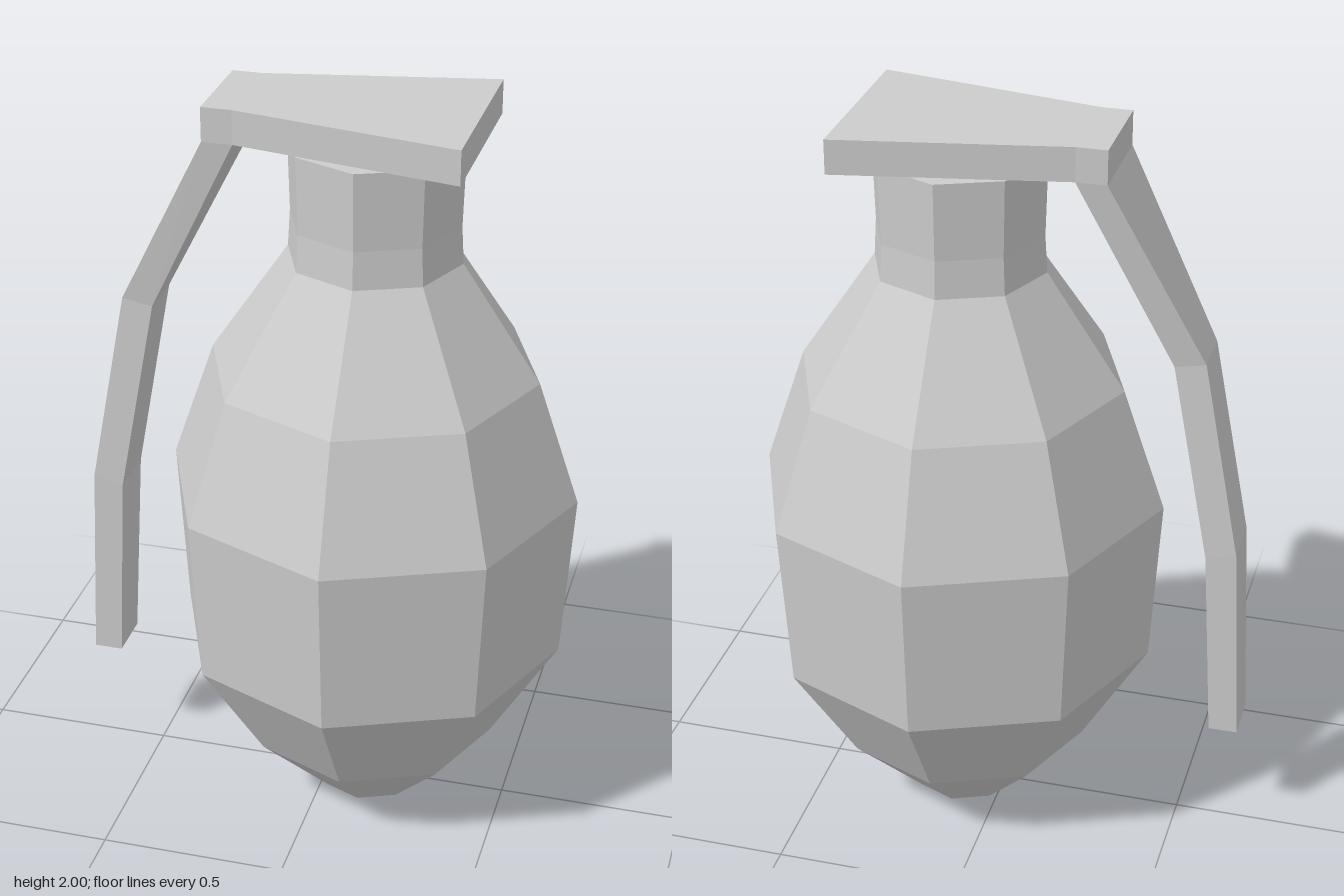
import * as THREE from 'three';

const material = new THREE.MeshStandardMaterial({ color: 0xcccccc, flatShading: true });

// Lofts a capped four-sided bar through sections:
// [outerX, outerY, innerX, innerY, outerHalfWidth, innerHalfWidth]
function loftBar(sections) {
  const positions = [];
  const rings = sections.map(([ox, oy, ix, iy, ow, iw]) => [
    [ox, oy, ow], [ix, iy, iw], [ix, iy, -iw], [ox, oy, -ow],
  ]);
  const quad = (a, b, c, d) => positions.push(...a, ...b, ...c, ...a, ...c, ...d);
  for (let i = 0; i < rings.length - 1; i++) {
    for (let k = 0; k < 4; k++) {
      const n = (k + 1) % 4;
      quad(rings[i][k], rings[i + 1][k], rings[i + 1][n], rings[i][n]);
    }
  }
  const end = rings[rings.length - 1];
  quad(...rings[0]);
  quad(end[3], end[2], end[1], end[0]);
  const geometry = new THREE.BufferGeometry();
  geometry.setAttribute('position', new THREE.Float32BufferAttribute(positions, 3));
  geometry.computeVertexNormals();
  return geometry;
}

export function createModel() {
  const group = new THREE.Group();
  const add = (name, geometry) => {
    const mesh = new THREE.Mesh(geometry, material);
    mesh.name = name;
    group.add(mesh);
    return mesh;
  };

  // Eight-sided body with neck, closed at both ends
  const profile = [
    [0, 0], [0.14, 0], [0.34, 0.2], [0.52, 0.5], [0.548, 0.96],
    [0.435, 1.29], [0.228, 1.6], [0.222, 1.7], [0.228, 1.905], [0, 1.905],
  ].map(([r, y]) => new THREE.Vector2(r, y));
  add('body', new THREE.LatheGeometry(profile, 8)).position.x = 0.118;

  // Flat top plate, tapering towards the lever
  add('topPlate', loftBar([
    [0.383, 2, 0.383, 1.91, 0.248, 0.248],
    [-0.21, 2, -0.21, 1.91, 0.135, 0.135],
    [-0.29, 2, -0.29, 1.91, 0.135, 0.135],
  ]));

  // Bent lever hanging from the plate
  add('lever', loftBar([
    [-0.29, 1.91, -0.21, 1.91, 0.135, 0.135],
    [-0.538, 1.43, -0.457, 1.415, 0.07, 0.07],
    [-0.64, 0.89, -0.56, 0.87, 0.075, 0.075],
    [-0.667, 0.33, -0.59, 0.33, 0.067, 0.067],
  ]));

  return group;
}
